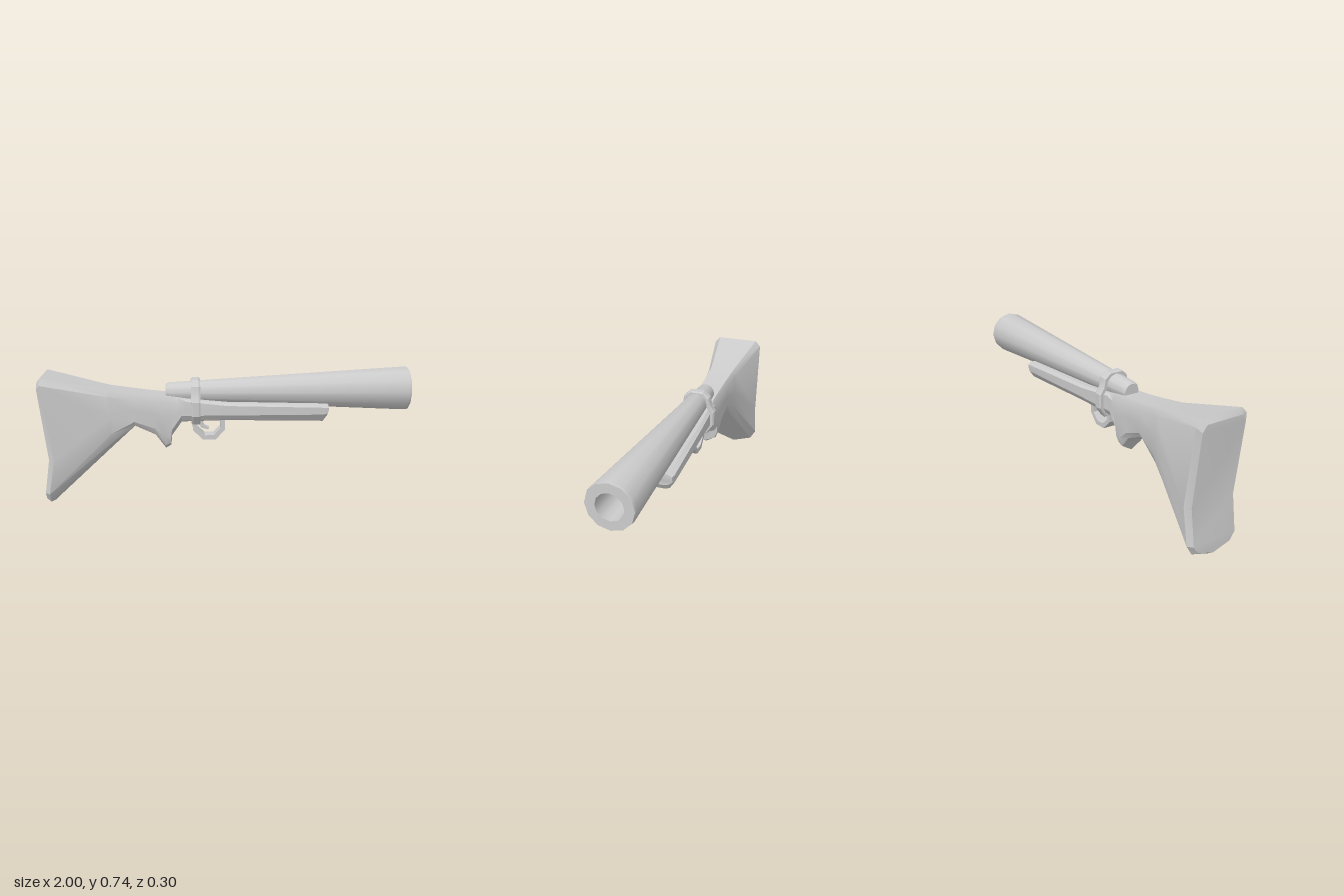
import * as THREE from 'three';
import { toCreasedNormals } from 'three/addons/utils/BufferGeometryUtils.js';

const material = new THREE.MeshStandardMaterial({ color: 0xcccccc });

function part(name, geometry, crease = 0.6) {
  const mesh = new THREE.Mesh(toCreasedNormals(geometry, crease), material);
  mesh.name = name;
  return mesh;
}

// Loft through mirrored cross-sections running along +x, closed at both ends
function loft(sections) {
  const n = sections[0].length, ring = 2 * n, pos = [], index = [];
  for (const half of sections) {
    for (const [x, y, z] of half) pos.push(x, y, z);
    for (const [x, y, z] of [...half].reverse()) pos.push(x, y, -z);
  }
  const quad = (a, b, c, d) => index.push(a, b, c, a, c, d);
  for (let i = 0; i < sections.length - 1; i++) {
    for (let j = 0; j < ring; j++) {
      const a = i * ring + j, b = i * ring + (j + 1) % ring;
      quad(a, b, b + ring, a + ring);
    }
  }
  const last = (sections.length - 1) * ring;
  for (let k = 0; k < n - 1; k++) {
    const m = ring - 1 - k;
    quad(k, m, m - 1, k + 1);
    quad(last + k, last + k + 1, last + m - 1, last + m);
  }
  const geometry = new THREE.BufferGeometry();
  geometry.setAttribute('position', new THREE.Float32BufferAttribute(pos, 3));
  geometry.setIndex(index);
  return geometry;
}

// Stock: x at top, middle and bottom, then heights of top, middle, lower edge, bottom, then half width
const stockRows = [
  [-1, -0.96, -0.99, 0.70, 0.28, 0.09, 0.02, 0.128],
  [-0.98, -0.93, -0.965, 0.725, 0.28, 0.09, 0, 0.15],
  [-0.64, -0.63, -0.62, 0.645, 0.5, 0.41, 0.32, 0.088],
  [-0.5, -0.5, -0.5, 0.625, 0.53, 0.47, 0.43, 0.08],
  [-0.4, -0.4, -0.39, 0.612, 0.52, 0.43, 0.375, 0.078],
  [-0.34, -0.34, -0.335, 0.606, 0.5, 0.38, 0.297, 0.077],
  [-0.3, -0.3, -0.305, 0.602, 0.5, 0.38, 0.315, 0.077],
  [-0.27, -0.28, -0.3, 0.598, 0.5, 0.42, 0.37, 0.077],
  [-0.22, -0.23, -0.245, 0.59, 0.53, 0.5, 0.46, 0.08],
  [0, 0, 0, 0.565, 0.53, 0.5, 0.465, 0.088],
  [0.53, 0.53, 0.525, 0.555, 0.53, 0.505, 0.457, 0.12],
  [0.55, 0.55, 0.545, 0.553, 0.53, 0.51, 0.488, 0.115],
];

function stockSection([xt, xm, xb, top, mid, low, bottom, w]) {
  const fore = xb > -0.26;
  const drop = fore ? 0.012 : 0.033;
  return [
    [xt, top, w * 0.8],
    [xt, top - drop, w],
    [xm, mid, w],
    [xb, low, w],
    [xb, bottom + (low - bottom) * (fore ? 0.2 : 0.4), w * 0.78],
    [xb, bottom, fore ? w * 0.6 : 0.003],
  ];
}

// Side-view outline extruded evenly about z = 0
function plate(points, width) {
  const shape = new THREE.Shape(points.map(p => new THREE.Vector2(...p)));
  return new THREE.ExtrudeGeometry(shape, { depth: width, bevelEnabled: false }).translate(0, 0, -width / 2);
}

export function createModel() {
  const group = new THREE.Group();
  group.add(part('stock', loft(stockRows.map(stockSection)), 0.5));

  // Tapered twelve-sided barrel with a narrowing bore
  const profile = [
    [0, -0.33], [0.042, -0.33], [0.051, -0.315], [0.122, 0.985], [0.119, 1],
    [0.07, 1], [0.045, -0.26], [0, -0.26],
  ].map(p => new THREE.Vector2(...p));
  const barrel = new THREE.LatheGeometry(profile, 12).rotateZ(-Math.PI / 2).translate(0, 0.618, 0);
  group.add(part('barrel', barrel));

  // Band clasping barrel and stock, pinched between the two
  const outer = [[0.035, 0.682], [0.067, 0.655], [0.076, 0.61], [0.098, 0.575], [0.098, 0.5], [0.065, 0.452]];
  const mirrored = half => [...half, ...[...half].reverse().map(([z, y]) => [-z, y])]
    .map(p => new THREE.Vector2(...p));
  const bandShape = new THREE.Shape(mirrored(outer));
  bandShape.holes.push(new THREE.Path(mirrored(outer.map(([z, y]) => [z * 0.8, 0.57 + (y - 0.57) * 0.84]))));
  const band = new THREE.ExtrudeGeometry(bandShape, {
    depth: 0.03, bevelThickness: 0.01, bevelSize: 0.006, bevelSegments: 1,
  }).translate(0, 0, -0.015).rotateY(Math.PI / 2).translate(-0.168, 0, 0);
  group.add(part('band', band, 0.4));

  // Guard loop below the stock
  group.add(part('triggerGuard', plate([
    [-0.185, 0.48], [-0.185, 0.405], [-0.13, 0.35], [-0.06, 0.35], [-0.008, 0.405], [-0.008, 0.48],
    [-0.033, 0.48], [-0.033, 0.413], [-0.07, 0.375], [-0.12, 0.375], [-0.16, 0.413], [-0.16, 0.48],
  ], 0.072), 0.3));

  // Curved trigger
  group.add(part('trigger', plate([
    [-0.16, 0.48], [-0.157, 0.44], [-0.137, 0.412], [-0.1, 0.402],
    [-0.095, 0.413], [-0.122, 0.425], [-0.135, 0.45], [-0.135, 0.48],
  ], 0.03), 0.3));
  return group;
}
